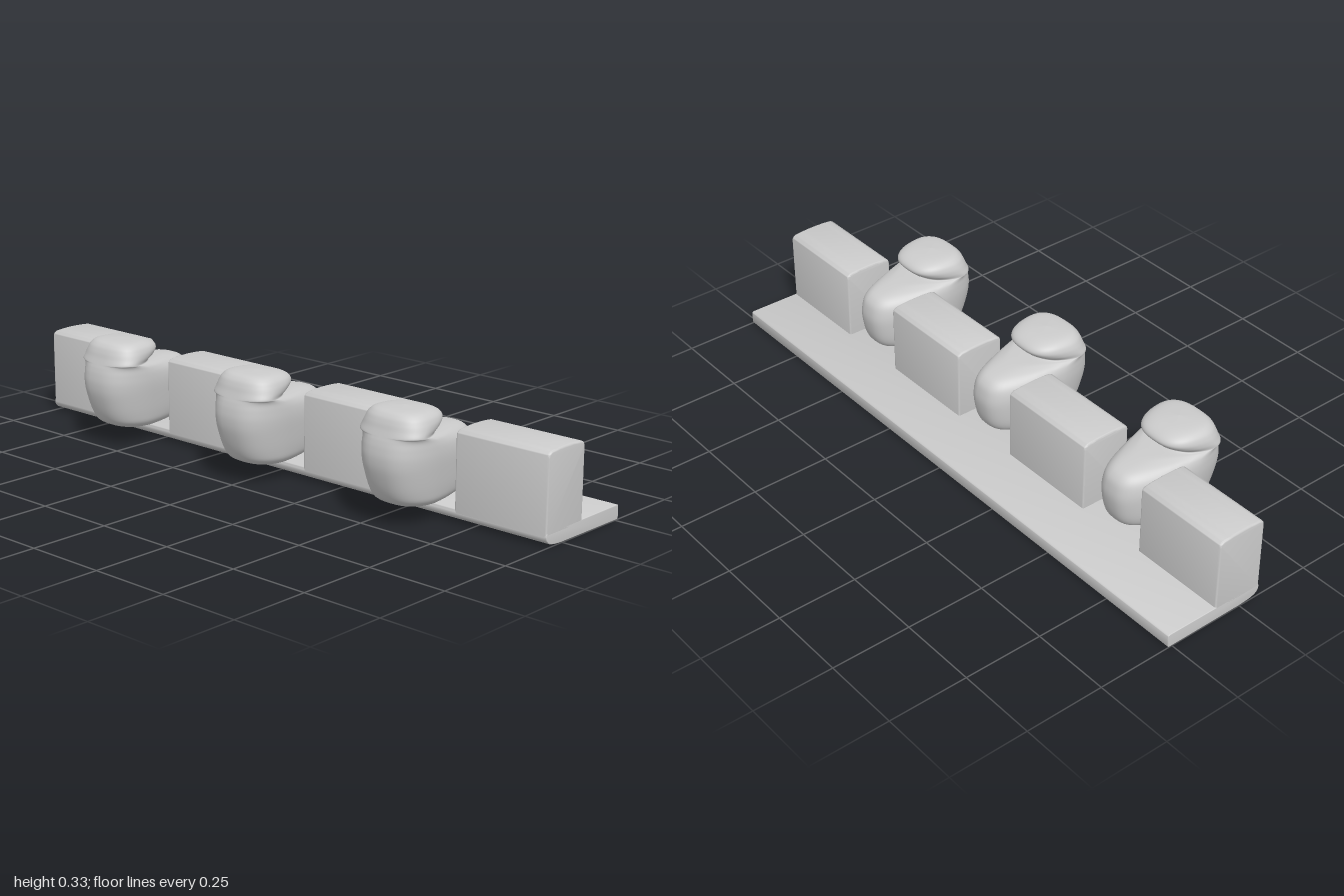
import * as THREE from 'three';
import { toCreasedNormals } from 'three/addons/utils/BufferGeometryUtils.js';

const material = new THREE.MeshStandardMaterial({ color: 0xcccccc });

// Extrudes a (-z, y) profile along x between x0 and x1, with softened ends.
function extrudeAlongX(shape, x0, x1, bevel) {
  const geo = new THREE.ExtrudeGeometry(shape, {
    depth: x1 - x0 - 2 * bevel, curveSegments: 8,
    bevelEnabled: true, bevelThickness: bevel, bevelSize: bevel, bevelOffset: -bevel, bevelSegments: 3,
  });
  geo.translate(0, 0, x0 + bevel);
  geo.rotateY(Math.PI / 2);
  return toCreasedNormals(geo, 0.7);
}

// Thin base plate with a rounded front underside
function plateShape() {
  const s = new THREE.Shape();
  s.moveTo(0, 0.001);
  s.lineTo(0.257, 0);
  s.quadraticCurveTo(0.265, 0, 0.265, 0.008);
  s.lineTo(0.265, 0.037);
  s.quadraticCurveTo(0.265, 0.044, 0.257, 0.044);
  s.lineTo(-0.062, 0.042);
  s.quadraticCurveTo(-0.072, 0.042, -0.072, 0.032);
  s.bezierCurveTo(-0.072, 0.008, -0.05, 0.003, 0, 0.001);
  return s;
}

// Upright block with rounded top edges and a slight crown
function blockShape() {
  const s = new THREE.Shape();
  s.moveTo(-0.072, 0.03);
  s.lineTo(0.092, 0.03);
  s.lineTo(0.092, 0.25);
  s.quadraticCurveTo(0.092, 0.267, 0.072, 0.269);
  s.quadraticCurveTo(0.01, 0.275, -0.052, 0.269);
  s.quadraticCurveTo(-0.072, 0.267, -0.072, 0.25);
  s.closePath();
  return s;
}

// Rounded peg: horizontal sections of [y, back z, front z, back half width, front half width]
function pegGeometry() {
  const sections = [
    [0.051, 0.06, 0.06, 0, 0],
    [0.052, -0.02, 0.165, 0.045, 0.065],
    [0.068, -0.068, 0.215, 0.07, 0.09],
    [0.1, -0.093, 0.24, 0.082, 0.1],
    [0.16, -0.105, 0.26, 0.088, 0.11],
    [0.2, -0.102, 0.265, 0.088, 0.115],
    [0.23, -0.09, 0.262, 0.08, 0.116],
    [0.25, -0.06, 0.257, 0.065, 0.115],
    [0.261, 0.01, 0.253, 0.06, 0.114],
    [0.266, 0.084, 0.251, 0.085, 0.113],
    [0.282, 0.064, 0.245, 0.09, 0.111],
    [0.3, 0.05, 0.239, 0.09, 0.106],
    [0.317, 0.062, 0.229, 0.083, 0.095],
    [0.329, 0.096, 0.208, 0.06, 0.07],
    [0.334, 0.15, 0.15, 0, 0],
  ];
  const curve = (z, w) => new THREE.CatmullRomCurve3(
    sections.map((s) => new THREE.Vector3(s[z], s[0], s[w])), false, 'catmullrom', 0.5);
  const back = curve(1, 3), front = curve(2, 4);
  const rings = 70, sides = 48;
  const soft = (v) => Math.sign(v) * Math.abs(v) ** 0.74;
  const pos = [], index = [];
  for (let j = 0; j <= rings; j++) {
    const b = back.getPoint(j / rings), f = front.getPoint(j / rings);
    for (let i = 0; i < sides; i++) {
      const t = (i / sides) * Math.PI * 2;
      const k = (1 + soft(Math.cos(t))) / 2;
      const width = THREE.MathUtils.lerp(b.z, f.z, THREE.MathUtils.smoothstep(k, 0, 0.75));
      pos.push(width * soft(Math.sin(t)), b.y, THREE.MathUtils.lerp(b.x, f.x, k));
      if (j === rings) continue;
      const n = (i + 1) % sides, a = j * sides, c = a + sides;
      index.push(a + i, a + n, c + i, a + n, c + n, c + i);
    }
  }
  const geo = new THREE.BufferGeometry();
  geo.setAttribute('position', new THREE.Float32BufferAttribute(pos, 3));
  geo.setIndex(index);
  geo.computeVertexNormals();
  return geo;
}

export function createModel() {
  const group = new THREE.Group();
  const add = (name, geo, x = 0) => {
    const mesh = new THREE.Mesh(geo, material);
    mesh.name = name;
    mesh.position.x = x;
    group.add(mesh);
  };

  add('basePlate', extrudeAlongX(plateShape(), -1, 1, 0.002));

  // Four blocks leaving three slots
  const spans = [[-1, -0.69], [-0.455, -0.12], [0.12, 0.45], [0.687, 1]];
  spans.forEach(([x0, x1], i) => add(`block${i + 1}`, extrudeAlongX(blockShape(), x0, x1, 0.006)));

  // One peg in each slot
  const peg = pegGeometry();
  [-0.577, 0, 0.568].forEach((x, i) => add(`peg${i + 1}`, peg, x));

  return group;
}
